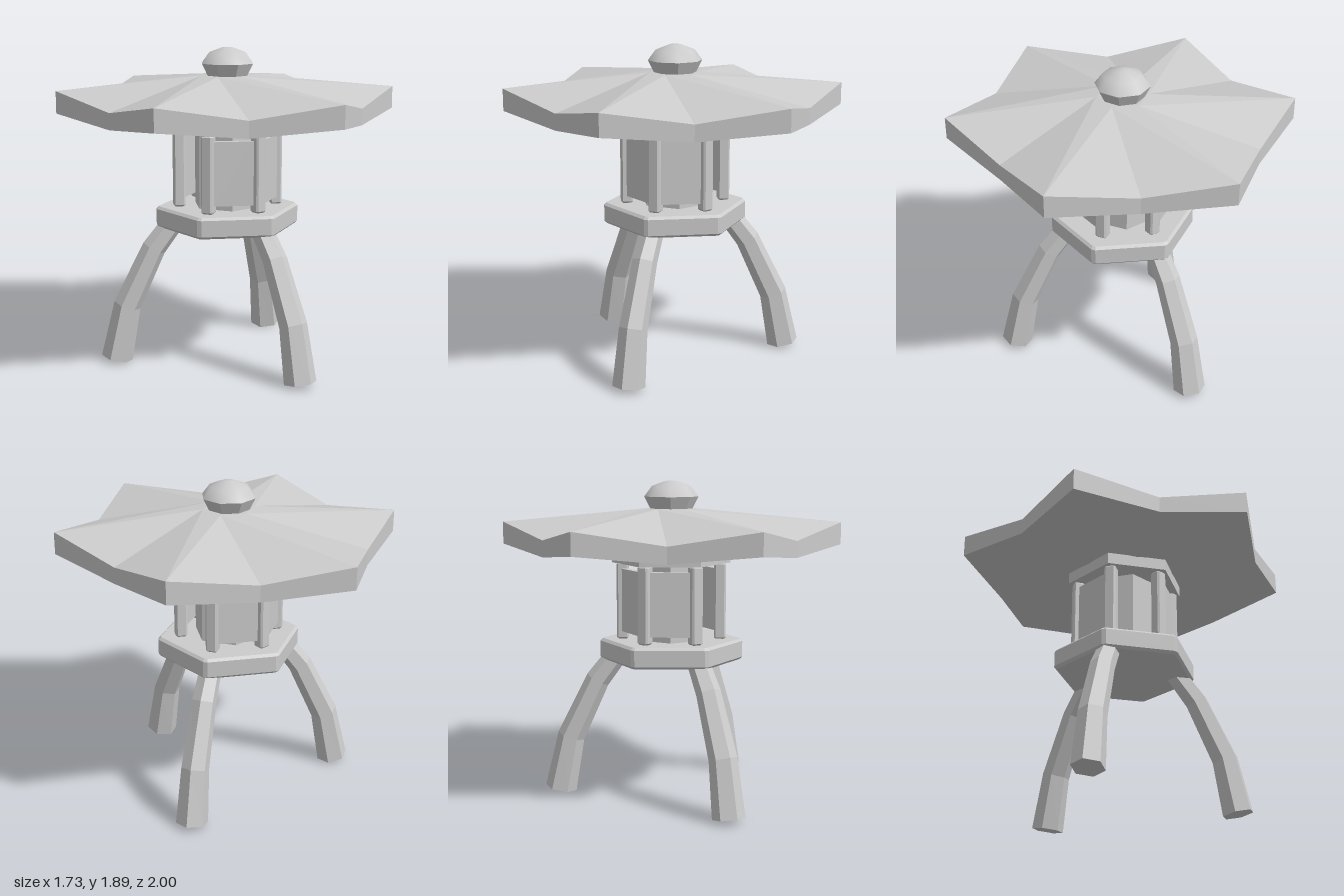
import * as THREE from 'three';

const flat = new THREE.MeshStandardMaterial({ color: 0xcccccc, flatShading: true });
const smooth = new THREE.MeshStandardMaterial({ color: 0xcccccc });
const deg = THREE.MathUtils.degToRad;

function add(parent, name, geometry, material = flat) {
  const mesh = new THREE.Mesh(geometry, material);
  mesh.name = name;
  parent.add(mesh);
  return mesh;
}

function indexed(positions, indices) {
  const g = new THREE.BufferGeometry();
  g.setAttribute('position', new THREE.Float32BufferAttribute(positions, 3));
  g.setIndex(indices);
  g.computeVertexNormals();
  return g;
}

// Upright prism from y0 to y1 with cut vertical corners and bevelled rims
function prism(sides, radius, startDeg, y0, y1, bevel) {
  const corner = (i) => {
    const a = deg(startDeg) + (i / sides) * Math.PI * 2;
    return new THREE.Vector2(Math.cos(a), Math.sin(a)).multiplyScalar(radius);
  };
  const points = [];
  for (let i = 0; i < sides; i++) {
    const c = corner(i);
    if (bevel === 0) { points.push(c); continue; }
    for (const n of [corner(i - 1), corner(i + 1)]) {
      points.push(c.clone().add(n.sub(c).setLength(bevel)));
    }
  }
  const g = new THREE.ExtrudeGeometry(new THREE.Shape(points), {
    depth: y1 - y0 - 2 * bevel, bevelEnabled: bevel > 0, bevelSegments: 1,
    bevelSize: bevel, bevelThickness: bevel, bevelOffset: -bevel,
  });
  return g.rotateX(-Math.PI / 2).translate(0, y0 + bevel, 0);
}

// Six-pointed roof: raised corners, lower valleys, small hexagon at the crown
function roofGeometry() {
  const pos = [], idx = [];
  const ring = (radius, y, startDeg) => {
    const first = pos.length / 3;
    for (let k = 0; k < 6; k++) {
      const a = deg(startDeg + k * 60);
      pos.push(radius * Math.cos(a), y, radius * Math.sin(a));
    }
    return (k) => first + (k % 6);
  };
  const C = ring(1, 1.65, 30), V = ring(0.82, 1.57, 60);
  const Cb = ring(1, 1.52, 30), Vb = ring(0.82, 1.475, 60);
  const I = ring(0.15, 1.73, 30);
  const top = pos.length / 3, bottom = top + 1;
  pos.push(0, 1.73, 0, 0, 1.475, 0);
  for (let k = 0; k < 6; k++) {
    const n = k + 1;
    idx.push(C(k), I(n), V(k), C(k), I(k), I(n), V(k), I(n), C(n), I(k), top, I(n));
    idx.push(C(k), V(k), Cb(k), V(k), Vb(k), Cb(k));
    idx.push(V(k), C(n), Vb(k), C(n), Cb(n), Vb(k));
    idx.push(Cb(k), Vb(k), bottom, Vb(k), Cb(n), bottom);
  }
  return indexed(pos, idx);
}

// Six-sided leg swept along a bowed path, thickening toward the foot
function legGeometry() {
  // distance from centre, height, thickness radius
  const path = [[0.32, 0.865, 0.065], [0.445, 0.70, 0.072], [0.61, 0.35, 0.082], [0.677, 0.022, 0.095]];
  const pos = [], idx = [], last = path.length - 1;
  path.forEach(([r, y, size], i) => {
    const a = path[Math.max(i - 1, 0)], b = path[Math.min(i + 1, last)];
    const t = new THREE.Vector2(b[0] - a[0], b[1] - a[1]).normalize();
    for (let j = 0; j < 6; j++) {
      const u = size * Math.cos(j * Math.PI / 3), v = size * Math.sin(j * Math.PI / 3);
      pos.push(r - t.y * u, y + t.x * u, v);
    }
  });
  for (let j = 0; j < 6; j++) {
    const n = (j + 1) % 6;
    for (let i = 0; i < last; i++) {
      const a = i * 6, b = a + 6;
      idx.push(a + j, a + n, b + j, a + n, b + n, b + j);
    }
    if (j > 0 && j < 5) idx.push(0, n, j, last * 6, last * 6 + j, last * 6 + n);
  }
  return indexed(pos, idx);
}

export function createModel() {
  const model = new THREE.Group();
  model.name = 'stoneLantern';

  // Three splayed legs
  const leg = legGeometry();
  for (let k = 0; k < 3; k++) add(model, 'leg', leg).rotation.y = deg(90 + 120 * k);

  // Platform, inner core and cap plate
  add(model, 'platform', prism(6, 0.433, 30, 0.83, 0.955, 0.015));
  add(model, 'core', prism(6, 0.21, 0, 0.95, 1.415, 0));
  add(model, 'capPlate', prism(6, 0.352, 30, 1.41, 1.48, 0));

  // Corner posts of the light chamber
  const post = prism(4, 0.07 / Math.SQRT2, 45, 0.955, 1.412, 0.01).translate(0.29, 0, 0);
  for (let k = 0; k < 6; k++) add(model, 'post', post).rotation.y = deg(30 + 60 * k);

  // Panels on four sides, leaving two opposite sides open
  const panel = new THREE.BoxGeometry(0.04, 0.375, 0.23).translate(0.252, 1.1875, 0);
  for (const a of [0, -60, 180, 120]) add(model, 'panel', panel).rotation.y = deg(a);

  add(model, 'roof', roofGeometry());

  // Faceted finial cup with a rounded dome
  const profile = (pts) => new THREE.LatheGeometry(pts.map(([r, y]) => new THREE.Vector2(r, y)), 8);
  add(model, 'finialCup', profile([[0, 1.72], [0.12, 1.72], [0.16, 1.8]]));
  add(model, 'finialDome', profile([[0.16, 1.8], [0.115, 1.86], [0.035, 1.89], [0, 1.892]]), smooth);

  return model;
}
